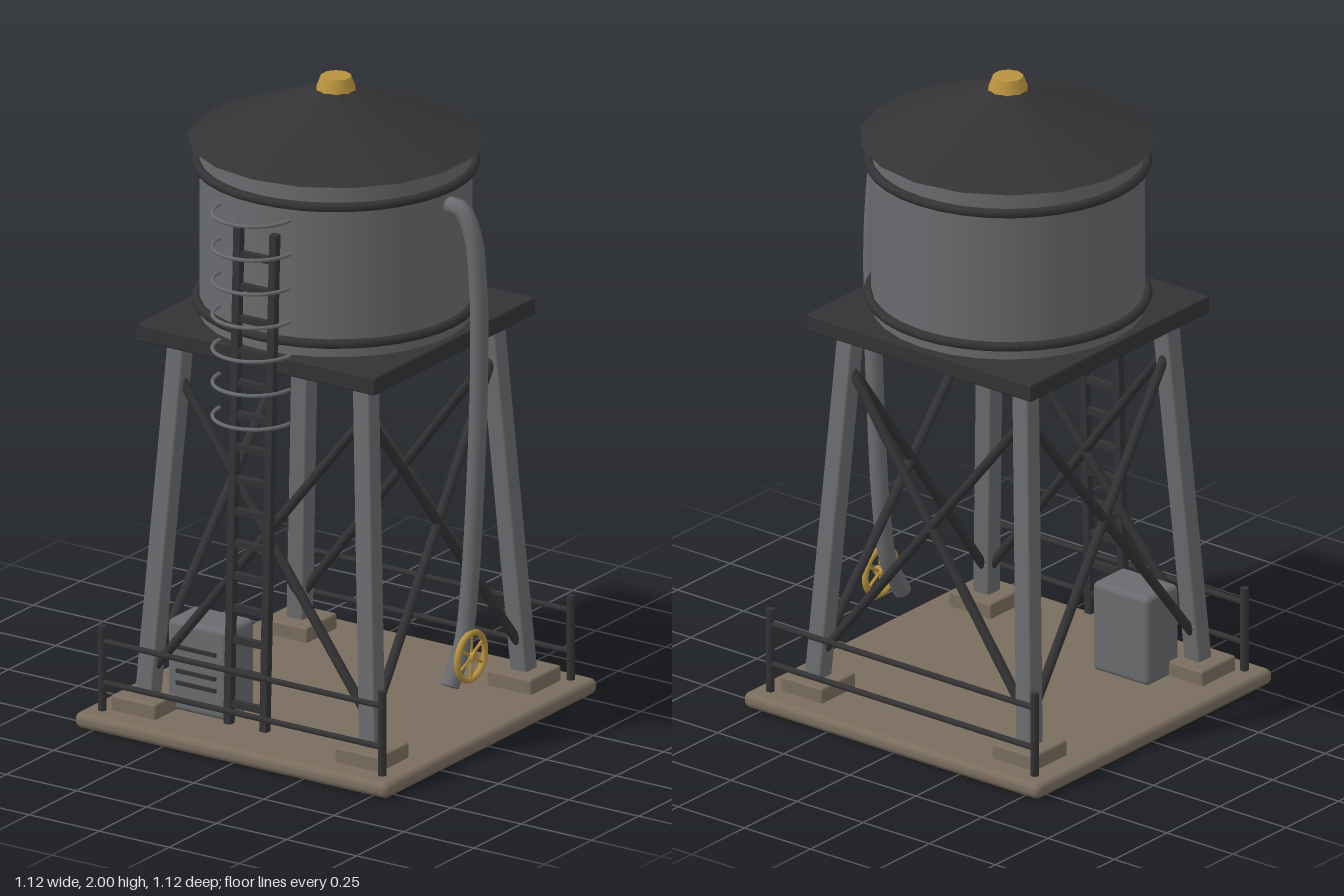
import * as THREE from 'three';
import { RoundedBoxGeometry } from 'three/addons/geometries/RoundedBoxGeometry.js';

const mat = (color) => new THREE.MeshStandardMaterial({ color });
const V = (x, y, z) => new THREE.Vector3(x, y, z);

export function createModel() {
  const model = new THREE.Group();
  const stone = mat(0x7a6d5e), steel = mat(0x6a6b6e), dark = mat(0x333335), gold = mat(0xb8923e);

  const add = (name, geometry, material, x = 0, y = 0, z = 0, parent = model) => {
    const mesh = new THREE.Mesh(geometry, material);
    mesh.name = name;
    mesh.position.set(x, y, z);
    parent.add(mesh);
    return mesh;
  };
  const group = (name) => {
    const g = new THREE.Group();
    g.name = name;
    model.add(g);
    return g;
  };
  // Bar between two points: round by default, square when square = true
  const bar = (name, a, b, width, material, parent = model, square = false) => {
    const length = a.distanceTo(b);
    const geometry = square
      ? new RoundedBoxGeometry(width, length, width, 2, width * 0.12)
      : new THREE.CylinderGeometry(width / 2, width / 2, length, 8);
    const mesh = add(name, geometry, material, 0, 0, 0, parent);
    mesh.position.copy(a).add(b).multiplyScalar(0.5);
    mesh.quaternion.setFromUnitVectors(V(0, 1, 0), b.clone().sub(a).normalize());
    return mesh;
  };

  // Base slab
  add('baseSlab', new RoundedBoxGeometry(1.12, 0.05, 1.12, 3, 0.022), stone, 0, 0.025, 0);

  // Footings and leaning legs
  const legAt = (y) => 0.4 - (y - 0.09) * 0.0625;
  for (const sx of [-1, 1]) for (const sz of [-1, 1]) {
    add('footing', new RoundedBoxGeometry(0.16, 0.06, 0.16, 2, 0.008), stone, sx * 0.4, 0.067, sz * 0.4);
    const p = (y) => V(sx * legAt(y), y, sz * legAt(y));
    bar('leg', p(0.08), p(1.23), 0.06, steel, model, true);
  }

  // Crossed braces on the four faces
  for (let side = 0; side < 4; side++) {
    const braces = group('crossBraces');
    for (const s of [-1, 1]) {
      const low = legAt(0.16), high = legAt(1.1);
      bar('brace', V(s * low, 0.16, low), V(-s * high, 1.1, high), 0.03, dark, braces);
    }
    braces.rotation.y = side * Math.PI / 2;
  }

  // Platform, tank, hoops, roof and cap
  add('platform', new RoundedBoxGeometry(0.85, 0.055, 0.85, 2, 0.006), dark, 0, 1.233, 0);
  add('tank', new THREE.CylinderGeometry(0.405, 0.405, 0.56, 28), steel, 0, 1.535, 0);
  for (const y of [1.305, 1.735]) {
    add('tankBand', new THREE.TorusGeometry(0.413, 0.015, 8, 36), dark, 0, y, 0).rotation.x = Math.PI / 2;
  }
  add('roof', new THREE.ConeGeometry(0.44, 0.18, 18), dark, 0, 1.895, 0);
  add('roofCap', new THREE.CylinderGeometry(0.046, 0.063, 0.045, 10), gold, 0, 1.9775, 0);

  // Leaning ladder
  const ladder = group('ladder');
  const ladderZ = (y) => 0.47 - (y - 0.09) * 0.034;
  for (const s of [-1, 1]) {
    bar('ladderRail', V(s * 0.064, 0.09, ladderZ(0.09)), V(s * 0.064, 1.64, ladderZ(1.64)), 0.026, dark, ladder, true);
  }
  for (let i = 0; i < 15; i++) {
    const y = 0.155 + i * 0.1;
    add('rung', new THREE.BoxGeometry(0.13, 0.02, 0.02), dark, 0, y, ladderZ(y), ladder);
  }

  // Half-round safety hoops around the ladder
  for (let i = 0; i < 7; i++) {
    const hoop = add('safetyHoop', new THREE.TorusGeometry(0.125, 0.006, 6, 20, Math.PI), steel, 0, 1.06 + i * 0.1065, 0.43, ladder);
    hoop.rotation.x = Math.PI / 2;
  }

  // Downpipe with closed ends
  const path = new THREE.CatmullRomCurve3([
    V(0.39, 1.675, 0), V(0.45, 1.668, 0), V(0.487, 1.6, 0), V(0.503, 1.42, -0.008), V(0.498, 1.15, -0.018),
    V(0.481, 0.8, -0.024), V(0.463, 0.48, -0.02), V(0.457, 0.31, 0.005), V(0.455, 0.19, 0.07),
  ]);
  add('downpipe', new THREE.TubeGeometry(path, 60, 0.027, 12), steel);
  const outlet = add('pipeEnd', new THREE.CircleGeometry(0.027, 12), steel);
  outlet.position.copy(path.getPoint(1));
  outlet.quaternion.setFromUnitVectors(V(0, 0, 1), path.getTangent(1));

  // Valve wheel facing sideways
  const wheel = group('valveWheel');
  wheel.position.set(0.482, 0.27, 0);
  wheel.rotation.y = Math.PI / 2;
  add('wheelRim', new THREE.TorusGeometry(0.073, 0.01, 8, 24), gold, 0, 0, 0, wheel);
  add('wheelHub', new THREE.CylinderGeometry(0.015, 0.015, 0.03, 10), gold, 0, 0, 0, wheel).rotation.x = Math.PI / 2;
  for (let i = 0; i < 3; i++) {
    const a = i * Math.PI / 3 + 0.5;
    const tip = V(Math.cos(a), Math.sin(a), 0).multiplyScalar(0.073);
    bar('spoke', tip, tip.clone().negate(), 0.01, gold, wheel);
  }

  // Control cabinet with louvres
  add('cabinet', new RoundedBoxGeometry(0.215, 0.285, 0.15, 3, 0.018), steel, -0.247, 0.188, 0.295);
  for (let i = 0; i < 4; i++) {
    add('louvre', new THREE.BoxGeometry(0.14, 0.012, 0.012), dark, -0.247, 0.25 - i * 0.0375, 0.371);
  }

  // Front and back railings
  for (const z of [-0.5, 0.495]) {
    const railing = group(z > 0 ? 'frontRailing' : 'backRailing');
    for (const s of [-1, 1]) bar('railPost', V(s * 0.5, 0.04, z), V(s * 0.5, 0.315, z), 0.026, dark, railing);
    for (const y of [0.138, 0.267]) bar('handrail', V(-0.5, y, z), V(0.5, y, z), 0.019, dark, railing);
  }

  return model;
}
